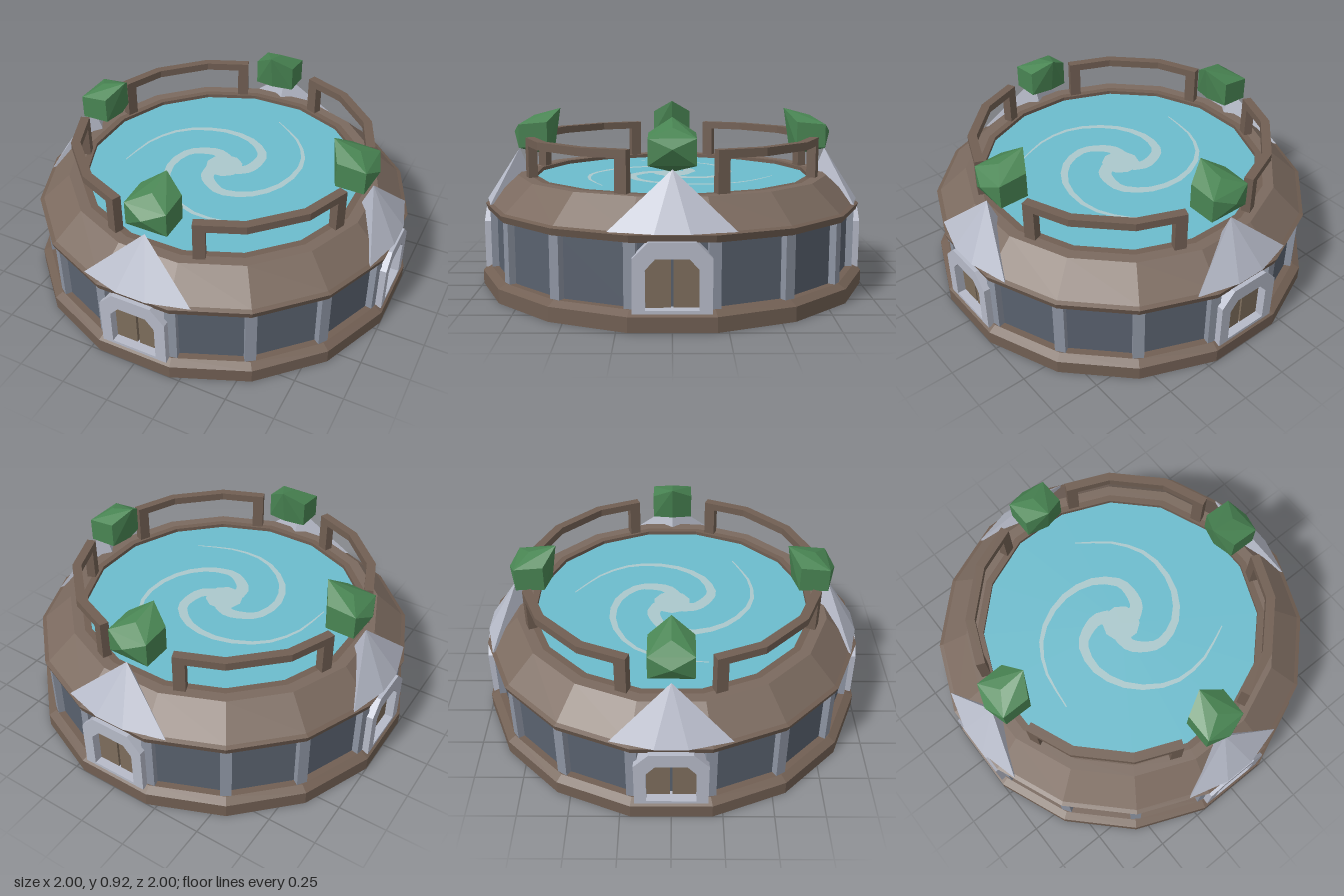
import * as THREE from 'three';
import { ConvexGeometry } from 'three/addons/geometries/ConvexGeometry.js';

const SIDES = 16;
const STEP = Math.PI * 2 / SIDES;
const K = 1 / Math.cos(STEP / 2); // flat-to-flat radius -> corner radius

const material = (name, color, side = THREE.FrontSide) => {
  const m = new THREE.MeshStandardMaterial({ color, side });
  m.name = name;
  return m;
};

// Faceted normals
function flat(geometry) {
  const g = geometry.index ? geometry.toNonIndexed() : geometry;
  g.computeVertexNormals();
  return g;
}

// Sixteen-sided ring from [flat radius, height] points
const ring = (points) => flat(new THREE.LatheGeometry(
  points.map(([r, y]) => new THREE.Vector2(r * K, y)), SIDES, STEP / 2));

const polygon = (points) => new THREE.Shape(points.map(([x, y]) => new THREE.Vector2(x, y)));

const hull = (points) => flat(new ConvexGeometry(points.map((p) => new THREE.Vector3(...p))));

export function createModel() {
  const model = new THREE.Group();
  model.name = 'roundPoolHouse';

  const roofBrown = material('roof brown', 0x7b6a5f);
  const trimBrown = material('trim brown', 0x715f53);
  const doorBrown = material('door brown', 0x7d6d5c);
  const slate = material('wall slate', 0x59616e);
  const pillarGrey = material('pillar grey', 0x8d94a2);
  const stone = material('pale stone', 0xb6bac8);
  const leaf = material('leaf green', 0x498553);
  const waterBlue = material('water blue', 0x6cbccd);
  const foam = material('foam', 0xabc8cc, THREE.DoubleSide);

  const add = (parent, name, geometry, mat) => {
    const mesh = new THREE.Mesh(geometry, mat);
    mesh.name = name;
    parent.add(mesh);
    return mesh;
  };

  // Base, wall, eaves, roof and pool
  add(model, 'base', ring([[0, 0], [1, 0], [1, 0.072], [0.96, 0.094], [0.9, 0.094]]), trimBrown);
  add(model, 'wall', ring([[0.925, 0.09], [0.925, 0.395]]), slate);
  add(model, 'eaves', ring([[0.92, 0.388], [0.965, 0.398], [0.976, 0.432], [0.955, 0.44]]), trimBrown);
  add(model, 'roof', ring([[0.955, 0.44], [0.81, 0.575], [0.755, 0.575]]), roofBrown);
  add(model, 'poolRim', ring([[0.755, 0.575], [0.72, 0.575], [0.72, 0.545]]), trimBrown);
  add(model, 'water', ring([[0.725, 0.555], [0, 0.555]]), waterBlue);

  // Pillars on the wall corners
  for (let i = 0; i < SIDES; i++) {
    const a = (i + 0.5) * STEP;
    const pillar = add(model, 'pillar', new THREE.BoxGeometry(0.055, 0.31, 0.05), pillarGrey);
    pillar.position.set(Math.sin(a) * 0.948, 0.242, Math.cos(a) * 0.948);
    pillar.rotation.y = a;
  }

  // Swirl: three tapering spiral arms and a centre disc
  const polar = [[250, 0.07], [228, 0.13], [206, 0.18], [187, 0.235], [155, 0.29],
    [122, 0.35], [90, 0.425], [65, 0.475], [40, 0.54]];
  const spine = new THREE.CatmullRomCurve3(polar.map(([deg, r]) => {
    const a = THREE.MathUtils.degToRad(deg);
    return new THREE.Vector3(r * Math.cos(a), -r * Math.sin(a), 0);
  }));
  const outer = [], inner = [];
  const N = 18;
  for (let i = 0; i <= N; i++) {
    const t = i / N;
    const p = spine.getPoint(t), d = spine.getTangent(t);
    const w = 0.036 * (1 - t) + 0.003;
    outer.push([p.x - d.y * w, p.y + d.x * w]);
    inner.unshift([p.x + d.y * w, p.y - d.x * w]);
  }
  const armGeometry = new THREE.ShapeGeometry(polygon([...outer, ...inner]));
  armGeometry.rotateX(-Math.PI / 2);
  const swirl = new THREE.Group();
  swirl.name = 'swirl';
  swirl.position.y = 0.56;
  model.add(swirl);
  for (let i = 0; i < 3; i++) {
    add(swirl, 'swirlArm', armGeometry, foam).rotation.y = i * Math.PI * 2 / 3;
  }
  const disc = add(swirl, 'swirlCentre', new THREE.CircleGeometry(0.1, 10), foam);
  disc.rotation.x = -Math.PI / 2;
  disc.position.y = 0.001;

  // Entrance: stone arch with double door
  const arch = polygon([[-0.178, 0.082], [0.178, 0.082], [0.178, 0.33], [0.105, 0.405],
    [-0.105, 0.405], [-0.178, 0.33]]);
  arch.holes.push(polygon([[-0.12, 0.098], [-0.12, 0.28], [-0.075, 0.33],
    [0.075, 0.33], [0.12, 0.28], [0.12, 0.098]]));
  const archGeometry = new THREE.ExtrudeGeometry(arch, { depth: 0.075, bevelEnabled: false });
  archGeometry.translate(0, 0, 0.915);
  const doorGeometry = (s) => {
    const pts = [[0.006, 0.095], [0.122, 0.095], [0.122, 0.282], [0.077, 0.332], [0.006, 0.332]];
    const g = new THREE.ExtrudeGeometry(polygon(pts.map(([x, y]) => [x * s, y])),
      { depth: 0.02, bevelEnabled: false });
    return g.translate(0, 0, 0.925);
  };

  // Pointed canopy above the entrance
  const canopyGeometry = hull([[0, 0.7, 0.825], [-0.08, 0.438, 0.988], [0.08, 0.438, 0.988],
    [-0.29, 0.438, 0.932], [0.29, 0.438, 0.932], [0, 0.438, 0.72]]);

  // Faceted tree crown leaning to the pool
  const crown = [[0, 0.915, 0.6], [0, 0.79, 0.85], [0, 0.878, 0.74], [0, 0.675, 0.73], [0, 0.725, 0.63]];
  for (const s of [-0.11, 0.11]) {
    crown.push([s, 0.848, 0.66], [s, 0.715, 0.66], [s, 0.835, 0.81], [s, 0.712, 0.81]);
  }
  const crownGeometry = hull(crown);

  // Railing: bent top bar on two posts, following the rim
  const corner = (r, a) => [r * K * Math.sin(a), r * K * Math.cos(a)];
  const railEnd = (r, s) => { // point on the end facet, s along it from its centre
    const c = Math.cos(STEP), n = Math.sin(STEP);
    return [r * n + s * c, r * c - s * n];
  };
  const half = (r) => [railEnd(r, -0.095), corner(r, STEP * 1.5)];
  const path = (r) => {
    const h = half(r);
    return [...h, ...h.map(([x, z]) => [z, x]).reverse()];
  };
  const railGeometry = new THREE.ExtrudeGeometry(
    polygon([...path(0.78), ...path(0.733).reverse()].map(([x, z]) => [x, -z])),
    { depth: 0.04, bevelEnabled: false });
  railGeometry.rotateX(-Math.PI / 2).translate(0, 0.738, 0);
  const postGeometry = new THREE.BoxGeometry(0.06, 0.18, 0.047);

  // Repeat entrances and railings around the four quarters
  for (let q = 0; q < 4; q++) {
    const quarter = new THREE.Group();
    quarter.name = 'quarter';
    quarter.rotation.y = q * Math.PI / 2;
    model.add(quarter);
    add(quarter, 'archFrame', archGeometry, stone);
    add(quarter, 'leftDoor', doorGeometry(1), doorBrown);
    add(quarter, 'rightDoor', doorGeometry(-1), doorBrown);
    add(quarter, 'canopy', canopyGeometry, stone);
    add(quarter, 'treeCrown', crownGeometry, leaf);
    add(quarter, 'railBar', railGeometry, trimBrown);
    const [x, z] = railEnd(0.7565, -0.065);
    for (const [px, pz, a] of [[x, z, STEP], [z, x, STEP * 3]]) {
      const post = add(quarter, 'railPost', postGeometry, trimBrown);
      post.position.set(px, 0.65, pz);
      post.rotation.y = a;
    }
  }
  return model;
}
